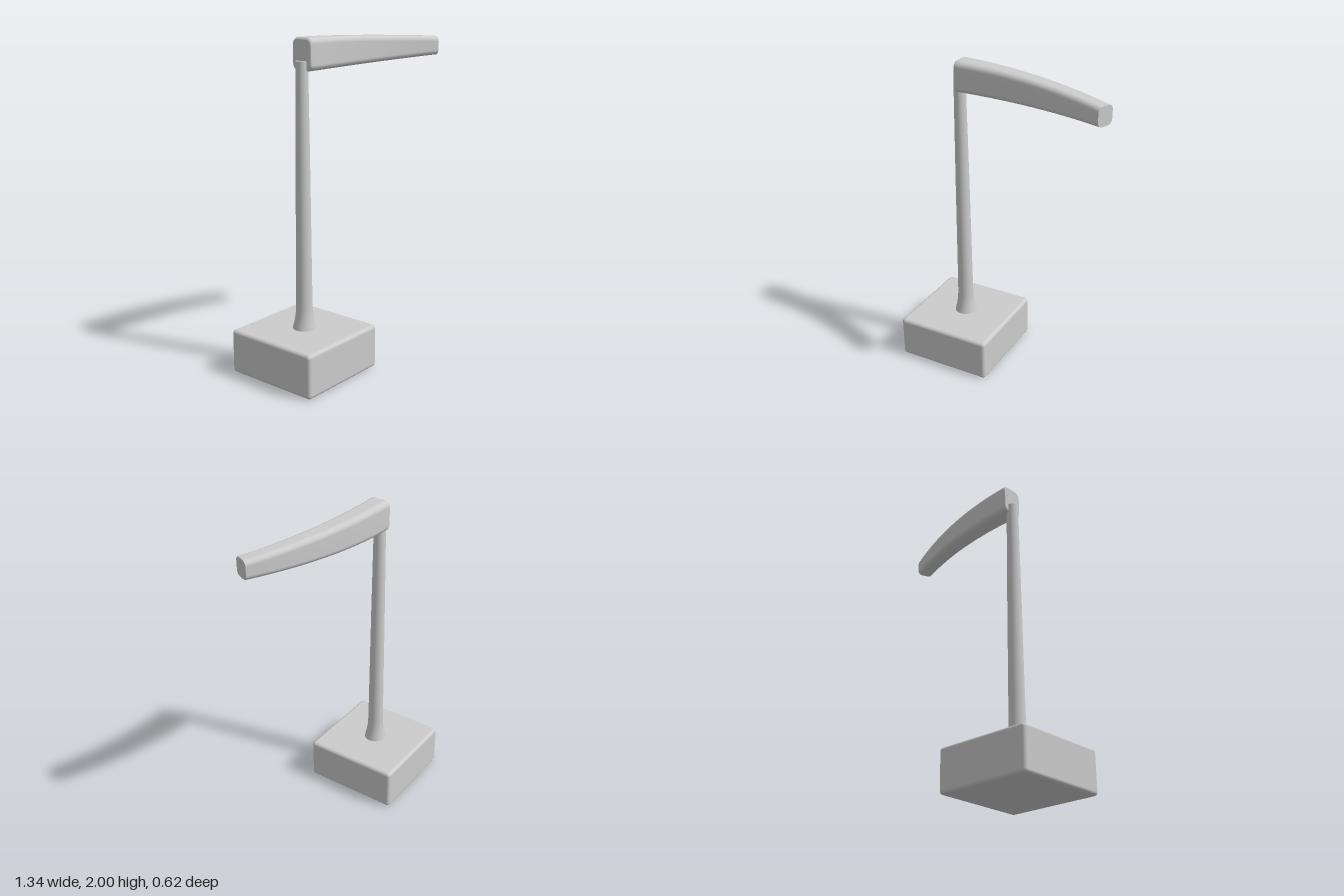
import * as THREE from 'three';
import { RoundedBoxGeometry } from 'three/addons/geometries/RoundedBoxGeometry.js';

const POLE_X = -0.365;

// Rounded-rectangle outline as [side, up] pairs
function roundedSection(halfW, halfH, radius) {
  const points = [];
  const steps = 6;
  for (const [sx, sy, start] of [[1, 1, 0], [-1, 1, 1], [-1, -1, 2], [1, -1, 3]]) {
    for (let i = 0; i <= steps; i++) {
      const a = (start + i / steps) * Math.PI / 2;
      points.push([sx * (halfW - radius) + radius * Math.cos(a), sy * (halfH - radius) + radius * Math.sin(a)]);
    }
  }
  return points;
}

// Tapered arm that sweeps gently forward, with flat ends
function armGeometry() {
  const length = 1.01, sweep = 0.212, midY = 1.905;
  const stations = [[0, 0.012], [0.004, 0.004], [0.012, 0]];
  for (let i = 1; i <= 24; i++) stations.push([0.012 + 0.988 * i / 24, 0]);

  const positions = [], index = [];
  const rings = stations.map(([t, inset]) => {
    const slope = 2 * sweep * t / length;
    const n = Math.hypot(1, slope);
    const x = POLE_X + length * t, z = sweep * t * t;
    const halfW = 0.07 - 0.018 * t - inset * 0.4;
    const halfH = 0.095 - 0.038 * Math.pow(t, 1.5) - inset;
    return roundedSection(halfW, halfH, 0.036 - 0.006 * t)
      .map(([s, u]) => [x - s * slope / n, midY + u, z + s / n]);
  });
  const count = rings[0].length;
  rings.forEach((ring) => ring.forEach((p) => positions.push(...p)));

  // Side skin
  for (let i = 0; i < rings.length - 1; i++) {
    for (let j = 0; j < count; j++) {
      const k = (j + 1) % count;
      const a = i * count + j, b = i * count + k;
      index.push(a, a + count, b, b, a + count, b + count);
    }
  }
  // End caps on their own vertices, so the rims stay crisp
  for (const [ring, flip] of [[rings[0], false], [rings[rings.length - 1], true]]) {
    const base = positions.length / 3;
    ring.forEach((p) => positions.push(...p));
    for (let j = 1; j < count - 1; j++) {
      if (flip) index.push(base, base + j + 1, base + j);
      else index.push(base, base + j, base + j + 1);
    }
  }
  const geometry = new THREE.BufferGeometry();
  geometry.setAttribute('position', new THREE.Float32BufferAttribute(positions, 3));
  geometry.setIndex(index);
  geometry.computeVertexNormals();
  return geometry;
}

export function createModel() {
  const group = new THREE.Group();
  const grey = new THREE.MeshStandardMaterial({ color: 0xcccccc });
  grey.name = 'light grey';

  const add = (name, geometry, x = 0, y = 0, z = 0) => {
    const mesh = new THREE.Mesh(geometry, grey);
    mesh.name = name;
    mesh.position.set(x, y, z);
    group.add(mesh);
  };

  // Block foot with softened edges
  add('base', new RoundedBoxGeometry(0.62, 0.27, 0.62, 4, 0.022), POLE_X, 0.135, 0);

  // Slender tapered pole with a flared foot
  const profile = [[0.072, 0.265], [0.066, 0.29], [0.058, 0.325], [0.053, 0.36], [0.05, 0.4],
    [0.048, 0.55], [0.043, 1.2], [0.036, 1.868]].map(([r, y]) => new THREE.Vector2(r, y));
  add('pole', new THREE.LatheGeometry(profile, 40), POLE_X, 0, 0);
  const cap = new THREE.CircleGeometry(0.036, 40);
  cap.rotateX(-Math.PI / 2);
  add('poleTop', cap, POLE_X, 1.868, 0);

  // Curved arm
  add('arm', armGeometry());

  return group;
}
